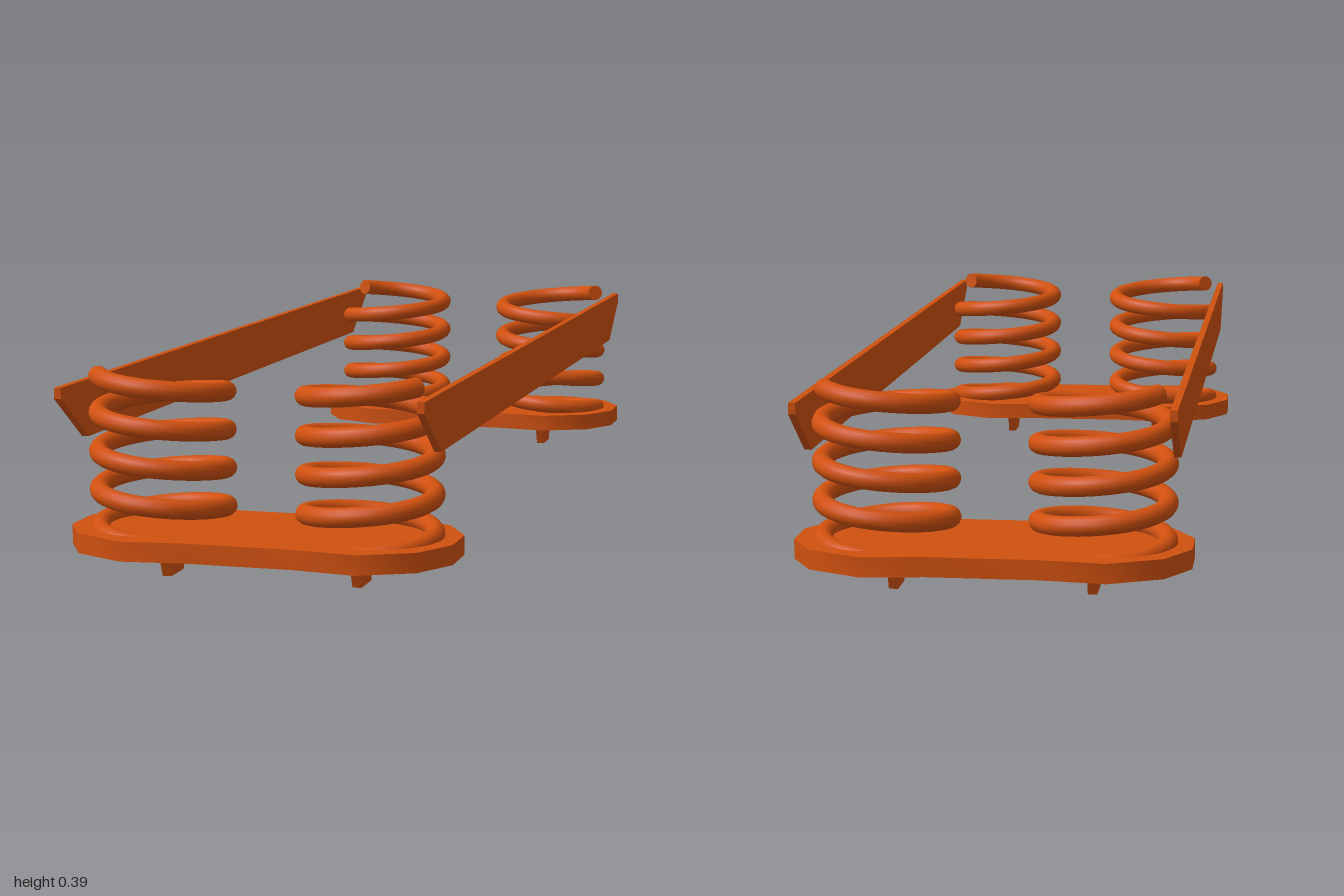
import * as THREE from 'three';
import { toCreasedNormals } from 'three/addons/utils/BufferGeometryUtils.js';

const PLATE_Z = 0.827, SPRING_X = 0.197, COIL_R = 0.117, WIRE_R = 0.018;
const TURNS = 4.2, PITCH = 0.071, TOP_Y = 0.37;

// Helical centre line, mirrored by the signs sx and sz
class Coil extends THREE.Curve {
  constructor(sx, sz) {
    super();
    this.sx = sx;
    this.sz = sz;
  }
  getPoint(t, target = new THREE.Vector3()) {
    const a = Math.PI / 6 + (1 - t) * TURNS * Math.PI * 2;
    return target.set(
      this.sx * (SPRING_X + COIL_R * Math.cos(a)),
      TOP_Y - (1 - t) * TURNS * PITCH,
      this.sz * (PLATE_Z + COIL_R * Math.sin(a)));
  }
}

function polygon(points) {
  return new THREE.Shape(points.map(([x, y]) => new THREE.Vector2(x, y)));
}

// Extrusion centred on its depth
function slab(points, depth) {
  return new THREE.ExtrudeGeometry(polygon(points), { depth, bevelEnabled: false })
    .translate(0, 0, -depth / 2);
}

export function createModel() {
  const model = new THREE.Group();
  model.name = 'springFrame';
  const material = new THREE.MeshStandardMaterial({ color: 0xd0500f });

  const add = (parent, name, geometry) => {
    const mesh = new THREE.Mesh(geometry, material);
    mesh.name = name;
    parent.add(mesh);
    return mesh;
  };

  // Waisted plate outline: one quarter, mirrored round
  const quarter = [[0.36, 0.045], [0.315, 0.125], [0.217, 0.173], [0.1, 0.158]];
  const half = [...quarter, ...quarter.map(([x, y]) => [-x, y]).reverse()];
  const outline = [...half, ...half.map(([x, y]) => [-x, -y])];
  const plateGeometry = toCreasedNormals(
    slab(outline, 0.036).rotateX(-Math.PI / 2), 0.7);

  // Tapered foot tab, in the z-y plane
  const footGeometry = slab(
    [[-0.032, 0], [0.032, 0], [0.055, 0.056], [-0.055, 0.056]], 0.017)
    .rotateY(-Math.PI / 2);

  // Long rail with slanted ends, in the z-y plane
  const railGeometry = slab([
    [-0.87, 0.255], [0.87, 0.255], [0.992, 0.34], [0.992, 0.36],
    [-0.992, 0.36], [-0.992, 0.34]], 0.013).rotateY(-Math.PI / 2);

  for (const sz of [1, -1]) {
    const end = new THREE.Group();
    end.name = sz > 0 ? 'frontBase' : 'backBase';
    model.add(end);
    add(end, 'basePlate', plateGeometry).position.set(0, 0.0725, sz * PLATE_Z);

    for (const sx of [1, -1]) {
      const side = sx > 0 ? 'left' : 'right';
      add(end, side + 'Foot', footGeometry).position.set(sx * 0.181, 0, sz * PLATE_Z);

      // Spring wire and the flat cut at its top
      const coil = new Coil(sx, sz);
      add(end, side + 'Spring', new THREE.TubeGeometry(coil, 170, WIRE_R, 14));
      const cap = add(end, side + 'SpringTip', new THREE.CircleGeometry(WIRE_R, 14));
      cap.position.copy(coil.getPoint(1));
      cap.lookAt(coil.getPoint(1).add(coil.getTangent(1)));
    }
  }

  for (const sx of [1, -1]) {
    add(model, sx > 0 ? 'leftRail' : 'rightRail', railGeometry).position.x = sx * 0.332;
  }
  return model;
}
